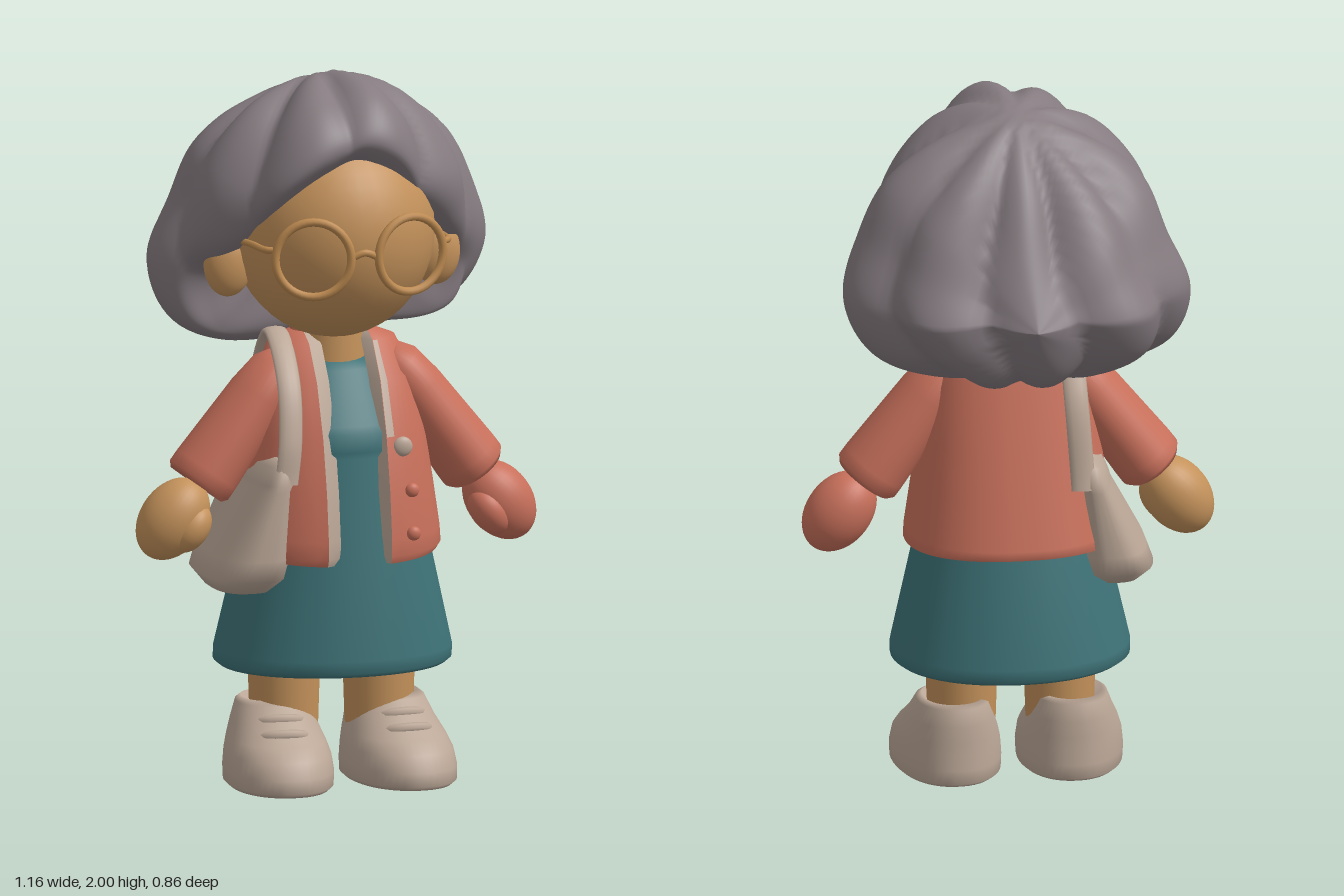
import * as THREE from 'three';

const V = (x, y, z) => new THREE.Vector3(x, y, z);
const mat = (name, color, side = THREE.FrontSide) => {
  const m = new THREE.MeshStandardMaterial({ color, side });
  m.name = name;
  return m;
};

// Grid surface from a point function; outward is (row direction) x (column direction)
function surface(fn, rows, cols, closed) {
  const pos = [], idx = [], w = closed ? cols : cols + 1;
  for (let j = 0; j <= rows; j++)
    for (let i = 0; i < w; i++) pos.push(...fn(j, i / cols).toArray());
  for (let j = 0; j < rows; j++)
    for (let i = 0; i < cols; i++) {
      const k = (i + 1) % w, a = j * w + i, b = a + w, c = j * w + k, d = c + w;
      idx.push(a, b, c, b, d, c);
    }
  const g = new THREE.BufferGeometry();
  g.setAttribute('position', new THREE.Float32BufferAttribute(pos, 3));
  g.setIndex(idx);
  g.computeVertexNormals();
  return g;
}

// Point on a rounded section; row = [y, half width, back z, front z, centre x]
function onRow([y, rx, zb, zf, cx = 0], a, e) {
  const s = Math.sin(a), c = Math.cos(a), p = (v) => Math.sign(v) * Math.abs(v) ** e;
  return V(cx + rx * p(s), y, (zb + zf) / 2 + (zf - zb) / 2 * p(c));
}

// Solid from sections listed top to bottom, closed at both ends
function solid(rows, e) {
  const tip = ([y, , b, f, cx]) => [y, 0, (b + f) / 2, (b + f) / 2, cx];
  const all = [tip(rows[0]), ...rows, tip(rows[rows.length - 1])];
  return surface((j, u) => onRow(all[j], u * Math.PI * 2, e), all.length - 1, 48, true);
}

export function createModel() {
  const model = new THREE.Group();
  model.name = 'woman';
  const skin = mat('skin', 0xc4925b), hairMat = mat('grey hair', 0x857b80, THREE.DoubleSide);
  const coral = mat('coral knit', 0xc8705b, THREE.DoubleSide), teal = mat('teal cloth', 0x3e7378);
  const taupe = mat('taupe', 0xbba797, THREE.DoubleSide), frame = mat('glasses frame', 0xbd8a50);
  const add = (name, geo, m, parent = model) => {
    const mesh = new THREE.Mesh(geo, m);
    mesh.name = name;
    parent.add(mesh);
    return mesh;
  };
  const ball = (name, m, p, r, parent) => {
    const b = add(name, new THREE.SphereGeometry(1, 32, 24), m, parent);
    b.position.set(...p);
    b.scale.set(...r);
  };
  const tube = (name, m, radius, points) =>
    add(name, new THREE.TubeGeometry(new THREE.CatmullRomCurve3(points), 16, radius, 8), m);

  // Head and neck
  ball('head', skin, [0, 1.565, 0.1], [0.285, 0.31, 0.3]);
  add('neck', new THREE.CylinderGeometry(0.085, 0.095, 0.16, 24), skin).position.set(0, 1.24, 0.09);

  // Dress with a raised belt
  add('dress', solid([
    [1.2, 0.08, 0.03, 0.17], [1.175, 0.14, 0.01, 0.215], [1.03, 0.2, -0.03, 0.295],
    [1.01, 0.205, -0.03, 0.312], [0.96, 0.21, -0.04, 0.32], [0.94, 0.21, -0.05, 0.308],
    [0.7, 0.262, -0.125, 0.35], [0.38, 0.335, -0.18, 0.38], [0.345, 0.335, -0.18, 0.378],
    [0.333, 0.32, -0.165, 0.365], [0.36, 0.28, -0.13, 0.33],
  ], 0.95), teal);

  // Cardigan, open at the front, with pale turned-in edges
  const coat = [
    [1.275, 0.115, 0.01, 0.15], [1.25, 0.18, -0.01, 0.19], [1.15, 0.225, -0.035, 0.265],
    [1.0, 0.25, -0.08, 0.325], [0.85, 0.272, -0.115, 0.36], [0.72, 0.292, -0.15, 0.377],
    [0.67, 0.295, -0.152, 0.377], [0.648, 0.286, -0.143, 0.368]];
  const last = coat.length - 1;
  const coatPoint = (j, u) => {
    const e = 0.88, a0 = Math.asin((0.092 / coat[j][1]) ** (1 / e));
    const a = a0 + u * (Math.PI * 2 - 2 * a0), p = onRow(coat[j], a, e);
    if (j > 4) p.y += 0.025 * (j - 5) * (1 - Math.cos(a)) / 2;
    return p;
  };
  add('cardigan', surface(coatPoint, last, 56, false), coral);
  for (const [u, width, depth] of [[0, 0.25, 0.035], [1, 0.45, 0.022]])
    add('cardiganEdge', surface((j, v) => {
      const p = coatPoint(j, u);
      return V(p.x * (1 - width * v), p.y, p.z - depth * v);
    }, last, 2, false), taupe);
  add('cardiganPlacket', surface((j, v) => coatPoint(j + 1, v * 0.018).add(V(0, 0, 0.005)), 2, 2, false), taupe);
  add('cardiganHem', surface((j, u) => {
    const p = coatPoint(last, u), k = 1 - 0.1 * j;
    return V(p.x * k, p.y + 0.01 * j, 0.11 + (p.z - 0.11) * k);
  }, 1, 56, false), taupe);
  ball('topButton', taupe, [0.14, 0.97, 0.312], [0.028, 0.028, 0.014]);
  for (const [y, z] of [[0.85, 0.338], [0.73, 0.353]])
    ball('button', coral, [0.16, y, z], [0.02, 0.02, 0.014]);

  // Arms, ears, legs, shoes and glasses in mirrored pairs
  for (const s of [-1, 1]) {
    const side = s > 0 ? 'left' : 'right';

    const arm = new THREE.Group();
    arm.name = side + 'Arm';
    arm.position.set(s * 0.18, 1.165, 0.13);
    arm.quaternion.setFromUnitVectors(V(0, 1, 0), V(s * 0.23, -0.31, 0).normalize());
    model.add(arm);
    const cuff = [[0, -0.07], [0.05, -0.055], [0.085, -0.01], [0.1, 0.08], [0.115, 0.33],
      [0.115, 0.365], [0.1, 0.38], [0.07, 0.34]];
    add('sleeve', new THREE.LatheGeometry(cuff.map((p) => new THREE.Vector2(...p)), 32), coral, arm)
      .scale.x = 0.83;
    const handMat = s > 0 ? coral : skin;
    ball('hand', handMat, [0, 0.495, 0.005], [0.092, 0.125, 0.088], arm);
    ball('thumb', handMat, [s * 0.045, 0.49, 0.04], [0.052, 0.075, 0.06], arm);

    ball(side + 'Ear', skin, [s * 0.302, 1.475, 0.095], [0.07, 0.094, 0.048]);
    add(side + 'Leg', new THREE.CylinderGeometry(0.104, 0.095, 0.28, 28), skin).position.set(s * 0.138, 0.28, 0.09);

    const shoe = new THREE.Group();
    shoe.name = side + 'Shoe';
    shoe.position.x = s * 0.162;
    shoe.rotation.y = s * 0.08;
    model.add(shoe);
    add('shoeBody', solid([
      [0.2, 0.06, 0, 0.13], [0.237, 0.085, -0.035, 0.16], [0.225, 0.1, -0.05, 0.185],
      [0.175, 0.118, -0.058, 0.235], [0.13, 0.135, -0.06, 0.305], [0.095, 0.145, -0.062, 0.35],
      [0.05, 0.15, -0.066, 0.375], [0.012, 0.148, -0.068, 0.378], [0, 0.135, -0.05, 0.362]], 0.92), taupe, shoe);
    for (const [y, z] of [[0.188, 0.195], [0.153, 0.245]]) {
      const lace = tube('lace', taupe, 0.016, [-0.085, -0.04, 0.04, 0.085].map((x) =>
        V(x, y + 0.008 - 4 * x * x, z + 0.02 - 10 * x * x)));
      shoe.add(lace);
    }

    const rim = add(side + 'GlassesRim', new THREE.TorusGeometry(0.106, 0.012, 10, 40), frame);
    rim.position.set(s * 0.142, 1.53, 0.384);
    rim.rotation.y = s * 0.27;
    tube(side + 'GlassesTemple', frame, 0.01,
      [V(s * 0.245, 1.555, 0.352), V(s * 0.264, 1.555, 0.335), V(s * 0.275, 1.552, 0.22), V(s * 0.29, 1.545, 0.1)]);
  }
  tube('glassesBridge', frame, 0.01, [V(-0.042, 1.53, 0.405), V(0, 1.546, 0.412), V(0.042, 1.53, 0.405)]);

  // Hair: half rings from crown to nape, mirrored into closed curves
  const ring = (half) => {
    const right = half.slice(1, -1).reverse().map(([x, y, z]) => [-x, y - 0.01, z + 0.015]);
    return new THREE.CatmullRomCurve3([...half, ...right].map((p) => V(...p)), true);
  };
  const outline = ring([[0, 1.985, 0.02], [0.19, 1.935, 0.02], [0.355, 1.8, -0.02], [0.425, 1.64, -0.05],
    [0.475, 1.47, -0.1], [0.415, 1.32, -0.11], [0.2, 1.245, -0.13], [0, 1.235, -0.17]]);
  const fringe = ring([[0, 1.945, 0.27], [0.17, 1.89, 0.245], [0.32, 1.73, 0.2], [0.385, 1.6, 0.12],
    [0.435, 1.44, 0.02], [0.37, 1.305, 0.01], [0.19, 1.255, -0.03], [0, 1.25, -0.08]]);
  const hairline = ring([[0, 1.84, 0.355], [0.1, 1.8, 0.335], [0.225, 1.69, 0.285], [0.3, 1.57, 0.175],
    [0.345, 1.43, 0.025], [0.3, 1.31, 0.02], [0.16, 1.28, 0], [0, 1.28, -0.04]]);
  const mid = V(0, 1.55, 0), steps = 56;
  add('hair', surface((j, u) => {
    const t = j / steps, o = outline.getPoint(u), edge = hairline.getPoint(u);
    const back = V(o.x * 0.7, 1.47 + (o.y - 1.47) * 0.74, -0.3 + o.z * 0.3 + 0.2 * Math.abs(o.y - 1.47));
    const path = [V(0, 1.47, -0.41), back, o, fringe.getPoint(u), edge, edge.clone().lerp(mid, 0.32)];
    const p = new THREE.CatmullRomCurve3(path).getPoint(t);
    // Locks falling from the crown, separated by narrow grooves
    const turn = Math.atan2(p.x, p.z + 0.03), reach = Math.hypot(p.x, p.z + 0.03);
    const fade = Math.min(1, reach / 0.25, 5 * (1 - t));
    const lock = 0.04 * Math.abs(Math.sin(4.5 * turn + 2 * p.y + 0.4 * Math.sin(9 * p.y))) - 0.024
      + 0.01 * Math.sin(3 * turn - 6 * p.y);
    return p.add(p.clone().sub(mid).normalize().multiplyScalar(lock * fade));
  }, steps, 140, true), hairMat);

  // Shoulder bag
  add('bag', solid([
    [0.95, 0.02, -0.05, 0.29, -0.2], [0.93, 0.045, -0.085, 0.325, -0.205], [0.88, 0.057, -0.1, 0.34, -0.215],
    [0.86, 0.053, -0.095, 0.335, -0.22], [0.67, 0.108, -0.1, 0.345, -0.268],
    [0.61, 0.115, -0.085, 0.33, -0.283], [0.568, 0.08, -0.02, 0.27, -0.285]], 0.75), taupe);
  const strap = new THREE.CatmullRomCurve3([
    V(-0.2, 0.88, 0.318), V(-0.185, 1.0, 0.308), V(-0.172, 1.16, 0.245), V(-0.165, 1.275, 0.09),
    V(-0.165, 1.14, -0.035), V(-0.18, 0.87, -0.085)]);
  add('bagStrap', surface((j, u) => {
    const t = j / 32, across = V(1, 0, 0), a = -u * Math.PI * 2;
    const n = strap.getTangent(t).cross(across).normalize();
    return strap.getPoint(t).addScaledVector(across, 0.034 * Math.cos(a)).addScaledVector(n, 0.014 * Math.sin(a));
  }, 32, 12, true), taupe);

  return model;
}
